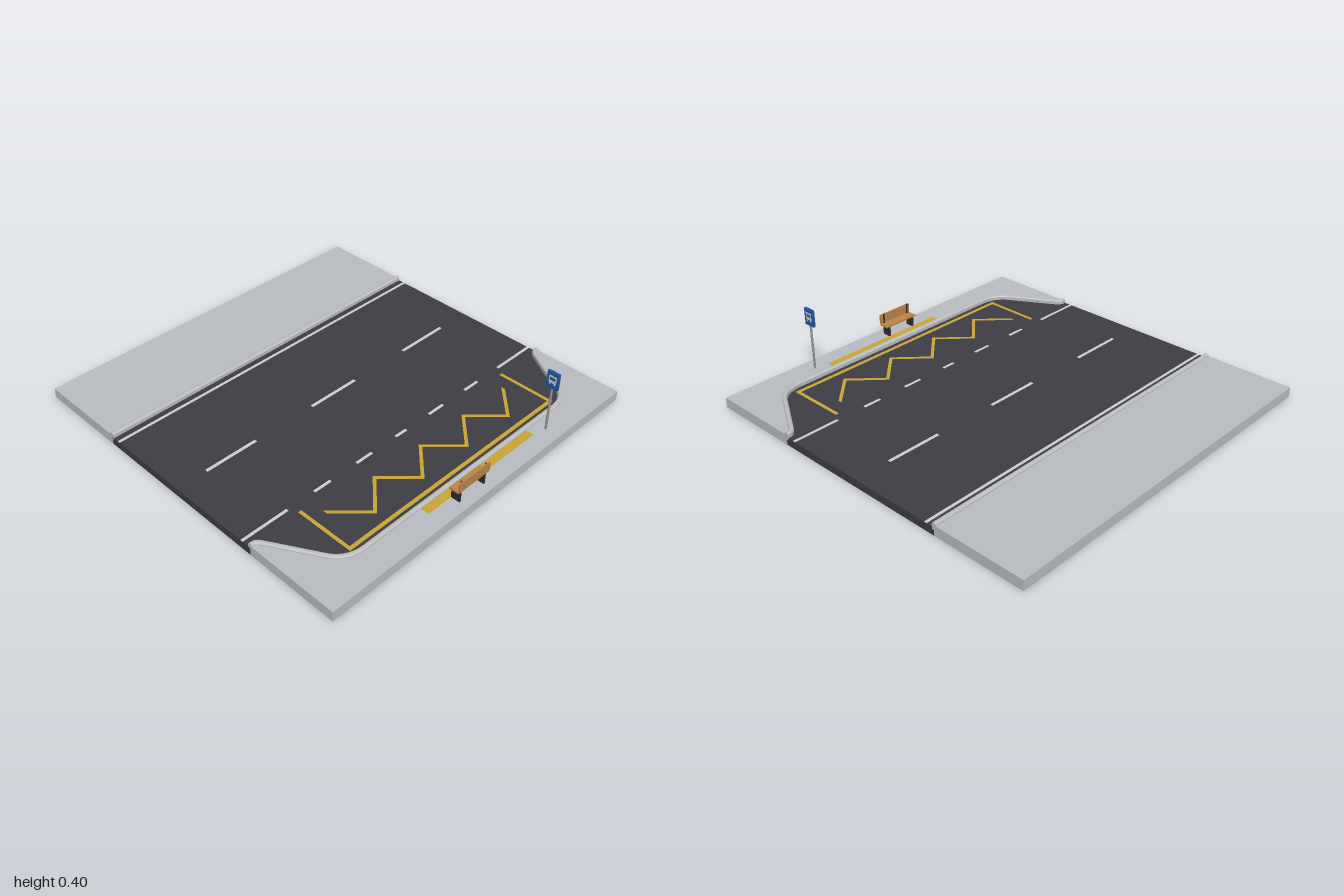
import * as THREE from 'three';

const mat = (name, color, extra = {}) => {
  const m = new THREE.MeshStandardMaterial({ color, ...extra });
  m.name = name;
  return m;
};

export function createModel() {
  const root = new THREE.Group();
  root.name = 'busBay';
  const M = {
    paving: mat('paving grey', 0xb9bdc2),
    kerb: mat('kerb grey', 0xbcbdbe),
    asphalt: mat('asphalt', 0x3e3d44),
    white: mat('road paint white', 0xcbced2),
    yellow: mat('road paint yellow', 0xcba536),
    wood: mat('bench wood', 0xbd8548),
    iron: mat('dark iron', 0x2d2d32),
    steel: mat('pole steel', 0x92979d),
    blue: mat('sign blue', 0x1f5aa6),
  };
  const add = (name, geo, m, parent = root) => {
    const mesh = new THREE.Mesh(geo, m);
    mesh.name = name;
    parent.add(mesh);
    return mesh;
  };
  // Box given by its limits on each axis
  const box = (name, m, [x0, x1], [y0, y1], [z0, z1], parent = root) => {
    const mesh = add(name, new THREE.BoxGeometry(x1 - x0, y1 - y0, z1 - z0), m, parent);
    mesh.position.set((x0 + x1) / 2, (y0 + y1) / 2, (z0 + z1) / 2);
    return mesh;
  };
  const group = (name) => {
    const g = new THREE.Group();
    g.name = name;
    root.add(g);
    return g;
  };

  const ROAD = 0.042, WALK = 0.055, KERB = 0.067;
  const V = (x, z) => new THREE.Vector2(x, z);

  // Kerb centre line of the bay: half of it, then mirrored
  const half = [
    V(0.502, 1),
    ...new THREE.QuadraticBezierCurve(V(0.502, 0.985), V(0.504, 0.968), V(0.525, 0.955)).getPoints(4),
    ...new THREE.QuadraticBezierCurve(V(0.765, 0.814), V(0.848, 0.765), V(0.848, 0.665)).getPoints(10),
  ];
  const bayLine = [...half, ...half.slice().reverse().map((p) => V(p.x, -p.y))];

  // Ground slabs
  const slab = (name, points, height, m) => {
    const geo = new THREE.ExtrudeGeometry(new THREE.Shape(points), { depth: height, bevelEnabled: false });
    add(name, geo.rotateX(-Math.PI / 2), m);
  };
  slab('road', [V(-0.5, -1), ...bayLine.slice().reverse(), V(-0.5, 1)], ROAD, M.asphalt);
  slab('bayPavement', [V(1, 1), ...bayLine, V(1, -1)], WALK, M.paving);
  box('farPavement', M.paving, [-1, -0.5], [0, WALK], [-1, 1]);

  // Kerb: a rounded section swept along a line on the ground
  const kerb = (name, line) => {
    const w = 0.0125;
    const section = [[-w, 0.03], [-w, 0.06], [-0.009, 0.065], [-0.005, KERB],
      [0.005, KERB], [0.009, 0.065], [w, 0.06], [w, 0.03]];
    const rings = line.map((p, i) => {
      const before = line[Math.max(i - 1, 0)], after = line[Math.min(i + 1, line.length - 1)];
      const t = after.clone().sub(before).normalize();
      if (i === 0 || i === line.length - 1) t.set(0, -1);
      return section.map(([s, y]) => [p.x - t.y * s, y, p.y + t.x * s]);
    });
    const pos = [];
    for (let i = 0; i < rings.length - 1; i++) {
      for (let j = 0; j < section.length; j++) {
        const k = (j + 1) % section.length;
        const a = rings[i][j], b = rings[i][k], c = rings[i + 1][k], d = rings[i + 1][j];
        pos.push(...a, ...b, ...c, ...a, ...c, ...d);
      }
    }
    const first = rings[0], last = rings[rings.length - 1];
    for (let j = 1; j < section.length - 1; j++) {
      pos.push(...first[0], ...first[j + 1], ...first[j]);
      pos.push(...last[0], ...last[j], ...last[j + 1]);
    }
    const geo = new THREE.BufferGeometry();
    geo.setAttribute('position', new THREE.Float32BufferAttribute(pos, 3));
    geo.computeVertexNormals();
    add(name, geo, kerbMaterial);
  };
  const kerbMaterial = M.kerb;
  kerbMaterial.side = THREE.DoubleSide;
  kerb('bayKerb', bayLine);
  kerb('farKerb', [V(-0.5, 1), V(-0.5, -1)]);

  // White lane markings
  const paint = [ROAD - 0.001, ROAD + 0.002];
  const lanes = group('whiteMarkings');
  box('edgeLine', M.white, [-0.456, -0.441], paint, [-1, 1], lanes);
  for (const z of [[-0.805, -0.5], [-0.137, 0.163], [0.53, 0.83]])
    box('centreDash', M.white, [-0.009, 0.008], paint, z, lanes);
  for (const z of [[-1, -0.74], [-0.575, -0.474], [-0.308, -0.203], [-0.038, 0.036],
    [0.2, 0.302], [0.47, 0.572], [0.735, 1]])
    box('bayDash', M.white, [0.438, 0.453], paint, z, lanes);

  // Yellow bay box and zigzag
  const bay = group('yellowMarkings');
  box('baySideLine', M.yellow, [0.79, 0.81], paint, [-0.717, 0.712], bay);
  for (const z of [-0.708, 0.703])
    box('bayEndLine', M.yellow, [0.49, 0.79], paint, [z - 0.009, z + 0.009], bay);
  const zig = [], inner = [], n = 8;
  for (let i = 0; i <= n; i++) {
    const x = i % 2 ? 0.725 : 0.572, z = -0.627 + i * 0.1565;
    zig.push(V(x - 0.012, z));
    inner.unshift(V(x + 0.012, z));
  }
  const zigGeo = new THREE.ExtrudeGeometry(new THREE.Shape([...zig, ...inner]), { depth: 0.003, bevelEnabled: false });
  add('zigzag', zigGeo.rotateX(-Math.PI / 2), M.yellow, bay).position.y = paint[0];
  box('tactileStrip', M.yellow, [0.862, 0.905], [WALK - 0.001, WALK + 0.002], [-0.43, 0.32]);

  // Bench facing the road
  const bench = group('bench');
  box('seat', M.wood, [0.9, 0.953], [0.112, 0.121], [-0.025, 0.185], bench);
  box('backrest', M.wood, [0.951, 0.958], [0.122, 0.174], [-0.025, 0.185], bench);
  for (const z of [-0.001, 0.167]) {
    box('legPanel', M.iron, [0.904, 0.953], [WALK, 0.112], [z - 0.005, z + 0.005], bench);
    box('backPost', M.iron, [0.947, 0.952], [0.112, 0.177], [z - 0.004, z + 0.004], bench);
  }

  // Stop sign post with a pictogram on both faces
  const sign = group('stopSign');
  const sx = 0.92, sz = -0.508;
  add('pole', new THREE.CylinderGeometry(0.006, 0.006, 0.33, 12), M.steel, sign)
    .position.set(sx, WALK + 0.165, sz);
  box('signPlate', M.blue, [sx - 0.033, sx + 0.033], [0.303, 0.396], [sz - 0.0065, sz + 0.0065], sign);
  for (const s of [-1, 1]) {
    const plate = (name, m, w, y0, y1, out, dx = 0) =>
      box(name, m, [sx + dx - w / 2, sx + dx + w / 2], [y0, y1],
        [sz + s * out - 0.001, sz + s * out + 0.001], sign);
    plate('vehicleBody', M.white, 0.042, 0.335, 0.376, 0.0065);
    plate('vehicleWindow', M.blue, 0.03, 0.352, 0.367, 0.0075);
    for (const dx of [-0.013, 0.013]) plate('vehicleWheel', M.white, 0.008, 0.325, 0.335, 0.0065, dx);
  }
  return root;
}
